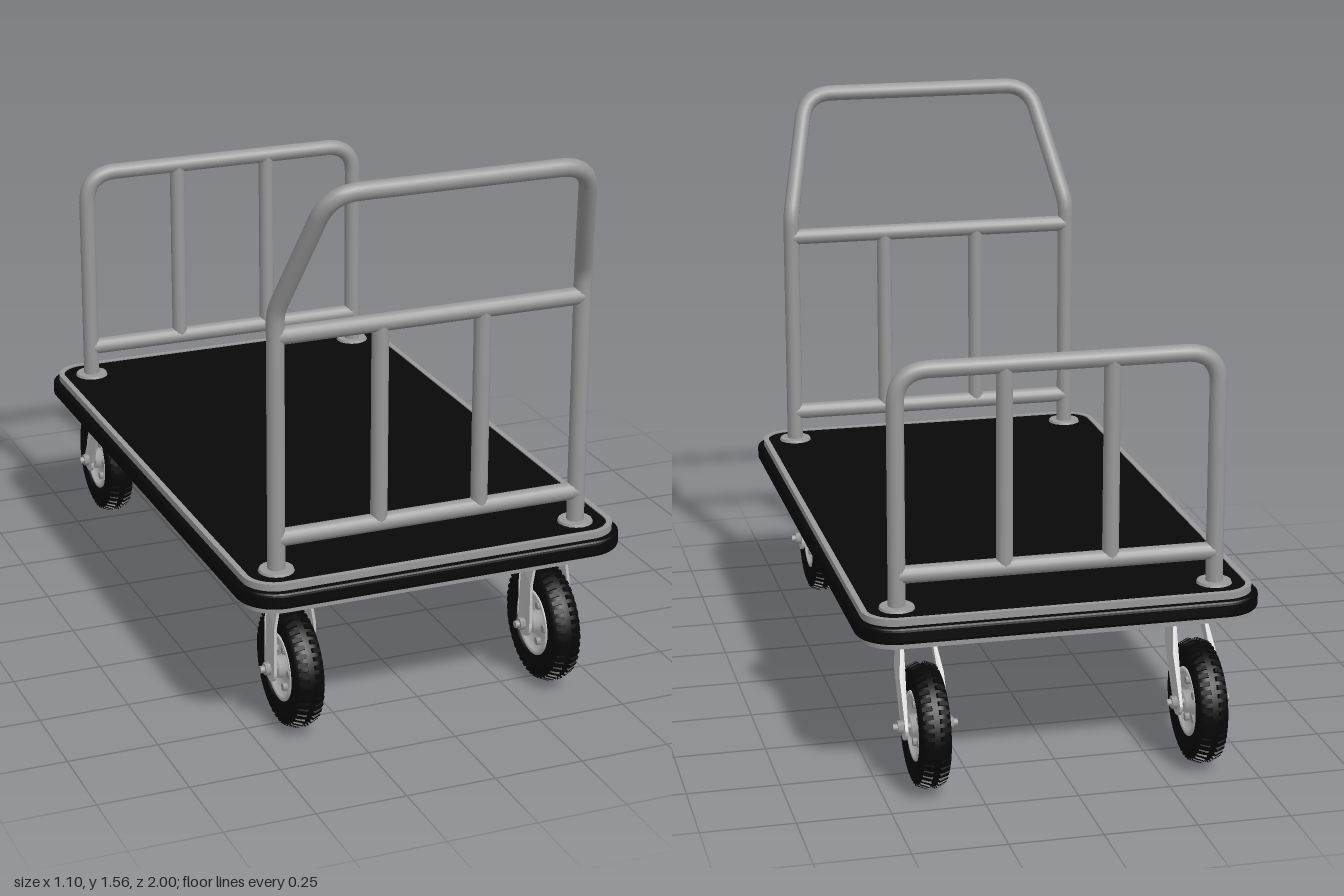
import * as THREE from 'three';

const mat = (name, color) => {
  const m = new THREE.MeshStandardMaterial({ color });
  m.name = name;
  return m;
};

export function createModel() {
  const steel = mat('tube steel', 0x999999);
  const zinc = mat('zinc plated steel', 0xc4c4c4);
  const rubber = mat('black rubber', 0x070707);
  const carpet = mat('deck mat', 0x080808);

  const root = new THREE.Group();
  root.name = 'platformCart';
  const V = (x, y, z) => new THREE.Vector3(x, y, z);
  const add = (parent, name, geo, material, x = 0, y = 0, z = 0) => {
    const m = new THREE.Mesh(geo, material);
    m.name = name;
    m.position.set(x, y, z);
    parent.add(m);
    return m;
  };
  const box = (w, h, d) => new THREE.BoxGeometry(w, h, d);
  const cylX = (r, len, n = 16) => new THREE.CylinderGeometry(r, r, len, n).rotateZ(Math.PI / 2);

  // Deck: rounded slabs and rings, centred slightly forward
  const DZ = 0.02;
  const outline = (hx, hz, r, Type) => {
    const s = new Type();
    s.moveTo(hx, -hz + r);
    s.lineTo(hx, hz - r);
    s.absarc(hx - r, hz - r, r, 0, Math.PI / 2);
    s.absarc(-hx + r, hz - r, r, Math.PI / 2, Math.PI);
    s.absarc(-hx + r, -hz + r, r, Math.PI, Math.PI * 1.5);
    s.absarc(hx - r, -hz + r, r, Math.PI * 1.5, Math.PI * 2);
    return s;
  };
  const slab = (name, material, hx, hz, r, y0, y1, hole = 0, bevel = 0) => {
    const s = outline(hx - bevel, hz - bevel, r - bevel, THREE.Shape);
    if (hole) s.holes.push(outline(hx - hole, hz - hole, Math.max(r - hole, 0.02), THREE.Path));
    const g = new THREE.ExtrudeGeometry(s, {
      depth: y1 - y0 - 2 * bevel, bevelEnabled: bevel > 0, bevelSize: bevel,
      bevelThickness: bevel, bevelSegments: 3, curveSegments: 10,
    });
    g.rotateX(-Math.PI / 2);
    add(root, name, g, material, 0, y0 + bevel, DZ);
  };
  slab('deckRim', steel, 0.533, 0.886, 0.09, 0.398, 0.48, 0.016);
  slab('deckPan', steel, 0.525, 0.878, 0.08, 0.457, 0.466);
  slab('deckMat', carpet, 0.518, 0.871, 0.075, 0.466, 0.477);
  slab('bumper', rubber, 0.551, 0.906, 0.11, 0.415, 0.461, 0.03, 0.01);

  // Underside cross members and caster mounting blocks
  for (const z of [-0.26, 0.3]) add(root, 'crossMember', box(1.03, 0.056, 0.08), steel, 0, 0.43, z);
  for (const sx of [-1, 1]) for (const z of [-0.675, 0.715]) {
    add(root, 'casterBlock', box(0.26, 0.056, 0.33), steel, sx * 0.375, 0.43, z);
  }

  // Bent tubes: a polyline with rounded corners
  const bentTube = (name, pts, radii, r) => {
    const path = new THREE.CurvePath();
    let last = pts[0];
    for (let i = 1; i < pts.length - 1; i++) {
      const p = pts[i];
      const a = p.clone().add(pts[i - 1].clone().sub(p).setLength(radii[i - 1]));
      const b = p.clone().add(pts[i + 1].clone().sub(p).setLength(radii[i - 1]));
      path.add(new THREE.LineCurve3(last, a));
      path.add(new THREE.QuadraticBezierCurve3(a, p, b));
      last = b;
    }
    path.add(new THREE.LineCurve3(last, pts[pts.length - 1]));
    add(root, name, new THREE.TubeGeometry(path, 120, r, 12), steel);
  };
  const R = 0.024, PX = 0.435;
  const frontZ = 0.81, backZ = -0.768;
  bentTube('pushHandle', [
    V(-PX, 0.47, frontZ), V(-PX, 1.19, frontZ), V(-0.355, 1.537, 0.976),
    V(0.355, 1.537, 0.976), V(PX, 1.19, frontZ), V(PX, 0.47, frontZ),
  ], [0.03, 0.08, 0.08, 0.03], R);
  bentTube('rearRail', [
    V(-PX, 0.47, backZ), V(-PX, 1.12, backZ), V(PX, 1.12, backZ), V(PX, 0.47, backZ),
  ], [0.09, 0.09], R);

  // Rails, uprights and post flanges
  add(root, 'handleCrossbar', cylX(R, PX * 2), steel, 0, 1.125, frontZ);
  for (const z of [frontZ, backZ]) {
    add(root, 'lowerRail', cylX(R, PX * 2), steel, 0, 0.568, z);
    for (const sx of [-1, 1]) {
      add(root, 'upright', new THREE.CylinderGeometry(0.023, 0.023, 0.555, 12), steel, sx * 0.145, 0.846, z);
      add(root, 'postFlange', new THREE.CylinderGeometry(0.046, 0.05, 0.01, 16), steel, sx * PX, 0.479, z);
    }
  }

  // Wheel parts, lathed about the axle (x axis)
  const WR = 0.162;
  const lathe = (pts, seg = 40) => new THREE.LatheGeometry(
    pts.map(([r, h]) => new THREE.Vector2(r, h)), seg).rotateZ(Math.PI / 2);
  const tyreGeo = lathe([
    [0.09, -0.03], [0.105, -0.038], [0.125, -0.0425], [0.145, -0.04], [0.156, -0.031], [WR, -0.015],
    [WR, 0.015], [0.156, 0.031], [0.145, 0.04], [0.125, 0.0425], [0.105, 0.038], [0.09, 0.03], [0.09, -0.03],
  ]);
  const hubGeo = lathe([
    [0.001, -0.04], [0.03, -0.04], [0.032, -0.018], [0.072, -0.018], [0.08, -0.034], [0.094, -0.034],
    [0.094, 0.034], [0.08, 0.034], [0.072, 0.018], [0.032, 0.018], [0.03, 0.04], [0.001, 0.04],
  ]);
  const lugGeo = box(0.026, 0.01, 0.012);

  const makeWheel = () => {
    const w = new THREE.Group();
    w.name = 'wheel';
    add(w, 'tyre', tyreGeo, rubber);
    add(w, 'hub', hubGeo, zinc);
    // Staggered tread blocks on each shoulder
    const N = 44;
    for (const s of [-1, 1]) for (let i = 0; i < N; i++) {
      const a = ((i + (s > 0 ? 0.5 : 0)) / N) * Math.PI * 2;
      const lug = add(w, 'treadBlock', lugGeo, rubber, s * 0.021, Math.cos(a) * 0.159, Math.sin(a) * 0.159);
      lug.rotation.set(a, 0, s * -0.4);
    }
    // Rim bolts on both faces
    for (const s of [-1, 1]) for (let i = 0; i < 5; i++) {
      const a = (i / 5) * Math.PI * 2 + 0.3;
      add(w, 'rimBolt', cylX(0.011, 0.014, 6), steel, s * 0.023, Math.cos(a) * 0.056, Math.sin(a) * 0.056);
    }
    return w;
  };

  // Fork leg: flat strip rounded at the axle, leaning in near the top
  const forkLeg = (side, dz) => {
    const H = 0.212, hw = 0.036, s = new THREE.Shape();
    s.moveTo(hw, 0);
    for (const t of [0.6, 0.8, 1]) s.lineTo(dz * t + hw, H * t);
    for (const t of [1, 0.8, 0.6]) s.lineTo(dz * t - hw, H * t);
    s.lineTo(-hw, 0);
    s.absarc(0, 0, hw, Math.PI, Math.PI * 2);
    const g = new THREE.ExtrudeGeometry(s, { depth: 0.008, bevelEnabled: false, curveSegments: 10 });
    g.rotateY(-Math.PI / 2).translate(0.004, 0, 0);
    const p = g.attributes.position;
    for (let i = 0; i < p.count; i++) {
      const lean = Math.max(0, p.getY(i) / H - 0.6) / 0.4;
      p.setX(i, p.getX(i) + side * (0.056 - 0.014 * lean));
    }
    g.computeVertexNormals();
    return g;
  };

  // Casters: fixed at the front, trailing swivels at the back
  const makeCaster = (name, x, wheelZ, dz) => {
    const c = new THREE.Group();
    c.name = name;
    c.position.set(x, 0.168, wheelZ);
    root.add(c);
    c.add(makeWheel());
    for (const s of [-1, 1]) {
      add(c, 'forkLeg', forkLeg(s, dz), zinc);
      add(c, 'axleNut', cylX(0.018, 0.016, 6), steel, s * 0.067, 0, 0);
      for (const t of [-1, 1]) {
        add(c, 'plateBolt', new THREE.CylinderGeometry(0.01, 0.01, 0.008, 6), zinc, s * 0.056, 0.216, dz + t * 0.062);
      }
    }
    add(c, 'axle', cylX(0.01, 0.174, 12), steel);
    add(c, 'forkCrown', box(0.09, 0.008, 0.072), zinc, 0, 0.208, dz);
    add(c, 'swivelBearing', new THREE.CylinderGeometry(0.056, 0.046, 0.012, 24), zinc, 0, 0.215, dz);
    add(c, 'mountingPlate', box(0.142, 0.014, 0.152), steel, 0, 0.226, dz);
  };
  for (const s of [-1, 1]) {
    makeCaster('frontCaster', s * 0.375, 0.755, 0);
    makeCaster('rearCaster', s * 0.375, -0.833, 0.123);
  }
  return root;
}
